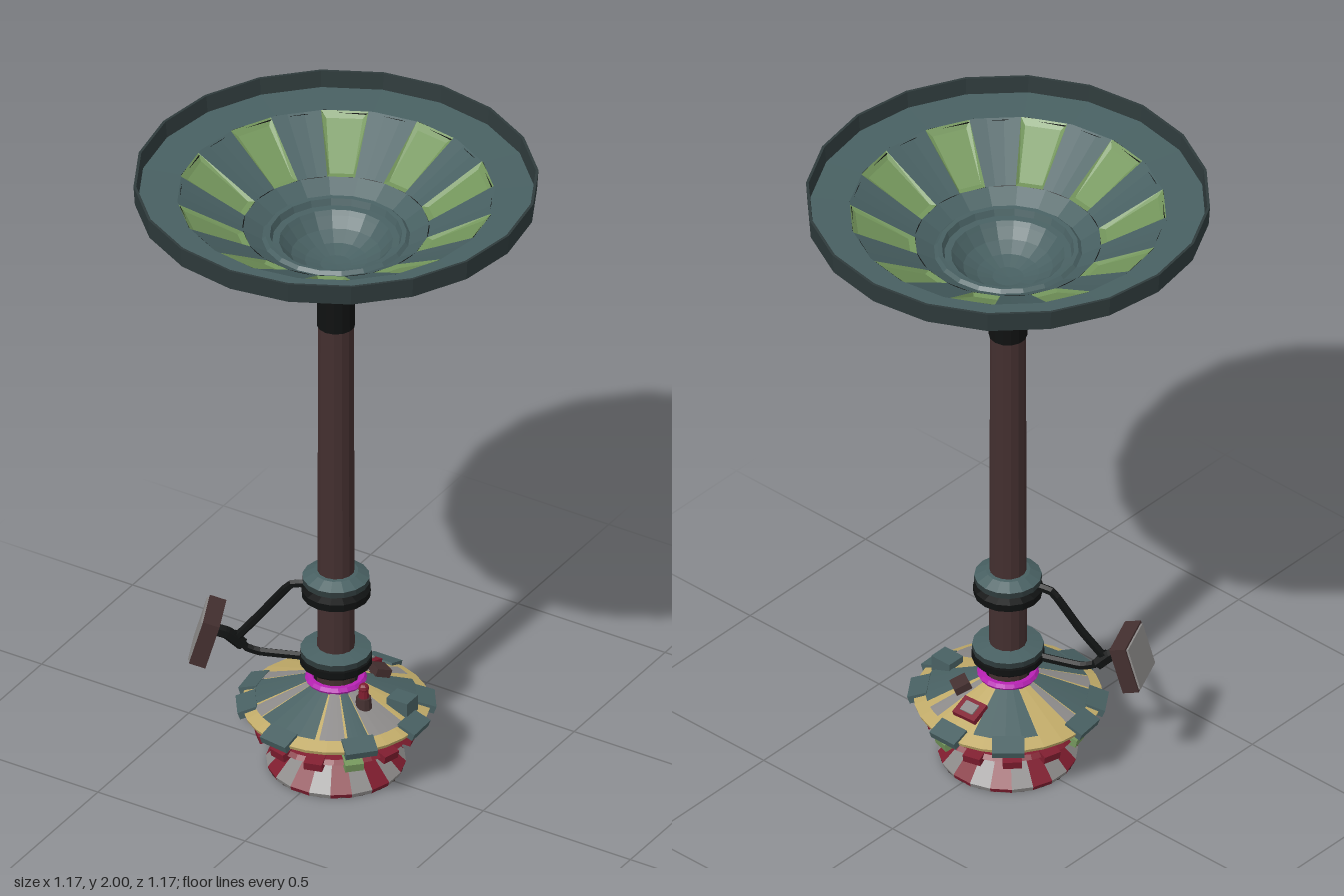
import * as THREE from 'three';

const paint = (name, color) => {
  const m = new THREE.MeshStandardMaterial({ color, flatShading: true, side: THREE.DoubleSide });
  m.name = name;
  return m;
};

export function createModel() {
  const teal = paint('slate teal', 0x486062);
  const slate = paint('dark slate', 0x2e3a3b);
  const black = paint('soot black', 0x0f1111);
  const green = paint('moss green', 0x74965c);
  const brown = paint('rust brown', 0x432f2f);
  const umber = paint('dark umber', 0x251b1a);
  const red = paint('dark red', 0x7f1d2f);
  const grey = paint('pale grey', 0x8b8988);
  const yellow = paint('sand yellow', 0xc0aa68);
  const magenta = paint('magenta', 0xb822b4);

  const model = new THREE.Group();
  const TAU = Math.PI * 2, DEG = Math.PI / 180;

  const add = (name, geo, mat, x = 0, y = 0, z = 0, parent = model) => {
    const m = new THREE.Mesh(geo, mat);
    m.name = name;
    m.position.set(x, y, z);
    parent.add(m);
    return m;
  };
  const lathe = (name, pts, mat, segs = 20) =>
    add(name, new THREE.LatheGeometry(pts.map(p => new THREE.Vector2(...p)), segs), mat);
  // Open conical band between two radii, limited to an angle range
  const band = (name, r0, y0, r1, y1, mat, start, len, segs) =>
    add(name, new THREE.CylinderGeometry(r1, r0, y1 - y0, segs, 1, true, start, len), mat, 0, (y0 + y1) / 2, 0);
  const polar = (r, y, a) => new THREE.Vector3(r * Math.sin(a), y, r * Math.cos(a));
  const block = (name, w, h, d, mat, r, y, a, tilt = 0) => {
    const m = add(name, new THREE.BoxGeometry(w, h, d), mat);
    m.position.copy(polar(r, y, a));
    m.rotation.set(tilt, a, 0, 'YXZ');
  };

  // Dish: underside and hub, rim wall, floor, centre bowl
  lathe('dishUnderside', [[0.052, 1.67], [0.07, 1.675], [0.15, 1.735], [0.158, 1.775], [0.22, 1.775],
    [0.32, 1.825], [0.45, 1.915], [0.455, 1.938], [0.583, 1.938]], black);
  lathe('dishRim', [[0.583, 1.938], [0.587, 2], [0.579, 2], [0.574, 1.948]], slate);
  lathe('dishFloor', [[0.574, 1.948], [0.46, 1.943]], teal);
  lathe('dishCentre', [[0.27, 1.835], [0.215, 1.802], [0.205, 1.812], [0.192, 1.81], [0.185, 1.79],
    [0.165, 1.788], [0.155, 1.775], [0.13, 1.745], [0.09, 1.722], [0.045, 1.708], [0, 1.705]], teal);

  // Dish slope: solid ribs between sunken green panels
  const step = TAU / 10, open = 0.3;
  const sunkenPanel = a => {
    const h = open / 2, pos = [], idx = [];
    for (const [r, y, s] of [[0.46, 1.943, 1], [0.27, 1.835, 1], [0.442, 1.926, 0.8], [0.288, 1.834, 0.8]])
      for (const side of [-1, 1]) pos.push(...polar(r, y, a + side * h * s).toArray());
    for (const [p, q, r, s] of [[4, 5, 7, 6], [0, 1, 5, 4], [2, 6, 7, 3], [0, 4, 6, 2], [1, 3, 7, 5]])
      idx.push(p, q, r, p, r, s);
    const g = new THREE.BufferGeometry();
    g.setAttribute('position', new THREE.Float32BufferAttribute(pos, 3));
    g.setIndex(idx);
    g.computeVertexNormals();
    return g;
  };
  for (let i = 0; i < 10; i++) {
    const a = 28.5 * DEG + i * step;
    add('dishPanel', sunkenPanel(a), green);
    band('dishRib', 0.27, 1.835, 0.46, 1.943, teal, a + open / 2, step - open, 3);
    block('dishUnderBump', 0.1, 0.014, 0.14, black, 0.36, 1.846, a, -0.6);
  }

  // Pole
  add('pole', new THREE.CylinderGeometry(0.052, 0.055, 1.3, 14), brown, 0, 0.9, 0);
  add('poleSleeve', new THREE.CylinderGeometry(0.053, 0.056, 0.18, 14), black, 0, 1.59, 0);

  // Collars that carry the bracket
  const collar = (name, y, pts, mat) => { lathe(name, pts, mat, 16).position.y = y; };
  collar('upperCollarBase', 0.56, [[0.05, 0], [0.07, 0], [0.1, 0.016], [0.102, 0.04], [0.07, 0.052]], black);
  collar('upperCollarCap', 0.61, [[0.07, 0], [0.098, 0.012], [0.098, 0.03]], slate);
  collar('upperCollarTop', 0.61, [[0.098, 0.03], [0.065, 0.048], [0.05, 0.05]], teal);
  collar('lowerCollar', 0.335, [[0.05, 0], [0.09, 0], [0.106, 0.014], [0.106, 0.034], [0.08, 0.036]], black);
  collar('lowerCollarCap', 0.371, [[0.08, 0], [0.104, 0.004], [0.104, 0.022]], slate);
  collar('lowerCollarTop', 0.371, [[0.104, 0.022], [0.05, 0.032]], teal);

  // Bracket arms
  const arm = (name, pts, r) => add(name, new THREE.TubeGeometry(
    new THREE.CatmullRomCurve3(pts.map(p => new THREE.Vector3(...p)), false, 'catmullrom', 0.2), 12, r, 6), black);
  arm('upperArm', [[-0.07, 0.61, 0.04], [-0.12, 0.6, 0.06], [-0.2, 0.49, 0.09], [-0.26, 0.41, 0.12]], 0.013);
  arm('lowerArm', [[-0.07, 0.36, 0.04], [-0.2, 0.36, 0.09], [-0.24, 0.375, 0.11], [-0.27, 0.42, 0.125]], 0.013);
  arm('armJoint', [[-0.25, 0.38, 0.11], [-0.285, 0.42, 0.135], [-0.31, 0.43, 0.15]], 0.02);

  // Screen box, turned outward and tipped up
  const screen = new THREE.Group();
  screen.name = 'screen';
  screen.position.set(-0.337, 0.42, 0.16);
  screen.rotation.set(-0.28, -66 * DEG, 0, 'YXZ');
  model.add(screen);
  add('screenCase', new THREE.BoxGeometry(0.15, 0.15, 0.05), brown, 0, 0, 0, screen);
  add('screenFace', new THREE.BoxGeometry(0.138, 0.138, 0.008), grey, 0, 0, 0.027, screen);

  // Upper disc: sand cone with patchwork wedges, given as start and end degrees
  add('magentaRing', new THREE.TorusGeometry(0.077, 0.013, 6, 20), magenta, 0, 0.293, 0).rotation.x = Math.PI / 2;
  const wedges = [[-80, -48, teal], [-46, -32, grey], [-31, 17, teal], [20, 38, grey], [40, 55, teal],
    [56, 86, grey], [108, 145, teal], [152, 164, grey], [197, 243, teal], [268, 279, grey]];
  for (const [from, to, mat] of wedges)
    band('discWedge', 0.24, 0.224, 0.075, 0.29, mat, from * DEG, (to - from) * DEG, 4);
  lathe('discCone', [[0.075, 0.286], [0.24, 0.219], [0.274, 0.205], [0.27, 0.194], [0.2, 0.192]], yellow, 28);
  lathe('discUnderside', [[0.2, 0.192], [0.16, 0.186], [0.06, 0.2]], black, 24);
  for (const deg of [-82, -55, -8, 47, 92, 125, 180, 222])
    block('discFlap', 0.095, 0.024, 0.06, teal, 0.256, 0.207, deg * DEG, 0.35);

  // Fittings on the disc
  add('lampBase', new THREE.CylinderGeometry(0.022, 0.026, 0.04, 10), brown, 0.125, 0.272, 0.05);
  add('lampPost', new THREE.CylinderGeometry(0.014, 0.016, 0.04, 10), red, 0.125, 0.305, 0.05);
  add('lampTop', new THREE.SphereGeometry(0.016, 10, 6), red, 0.125, 0.322, 0.05);
  add('boxFitting', new THREE.BoxGeometry(0.07, 0.05, 0.06), teal, 0.2, 0.245, -0.04);
  block('redPlate', 0.08, 0.02, 0.065, red, 0.175, 0.252, 3.2, 0.37);
  block('redPlateFace', 0.045, 0.008, 0.035, grey, 0.178, 0.262, 3.2, 0.37);
  block('brownFitting', 0.05, 0.04, 0.05, brown, 0.14, 0.268, 2.6, 0.37);

  // Middle rings: dark core, red skirt and trim blocks
  lathe('core', [[0.11, 0.09], [0.15, 0.115], [0.13, 0.145], [0.19, 0.16], [0.19, 0.172], [0.11, 0.18], [0.1, 0.2]], black);
  lathe('redSkirt', [[0.13, 0.118], [0.205, 0.12], [0.222, 0.128], [0.21, 0.14], [0.13, 0.155]], red, 24);
  for (let i = 0; i < 12; i++)
    block('skirtBlock', 0.055, 0.026, 0.05, i % 4 === 1 ? green : red, 0.21, 0.129, (i + 0.5) * TAU / 12, 0.2);

  // Flared striped foot, hollow beneath
  for (let i = 0; i < 20; i++) {
    const mat = i % 2 ? grey : red, a = (i - 0.5) * TAU / 20;
    band('footStripe', 0.203, 0.014, 0.143, 0.078, mat, a, TAU / 20, 1);
    band('footEdge', 0.198, 0, 0.203, 0.014, mat, a, TAU / 20, 1);
  }
  lathe('footNeck', [[0.143, 0.078], [0.12, 0.1], [0.12, 0.12]], brown);
  lathe('footInside', [[0.198, 0.001], [0.18, 0.012], [0.125, 0.065], [0, 0.07]], umber);
  return model;
}
